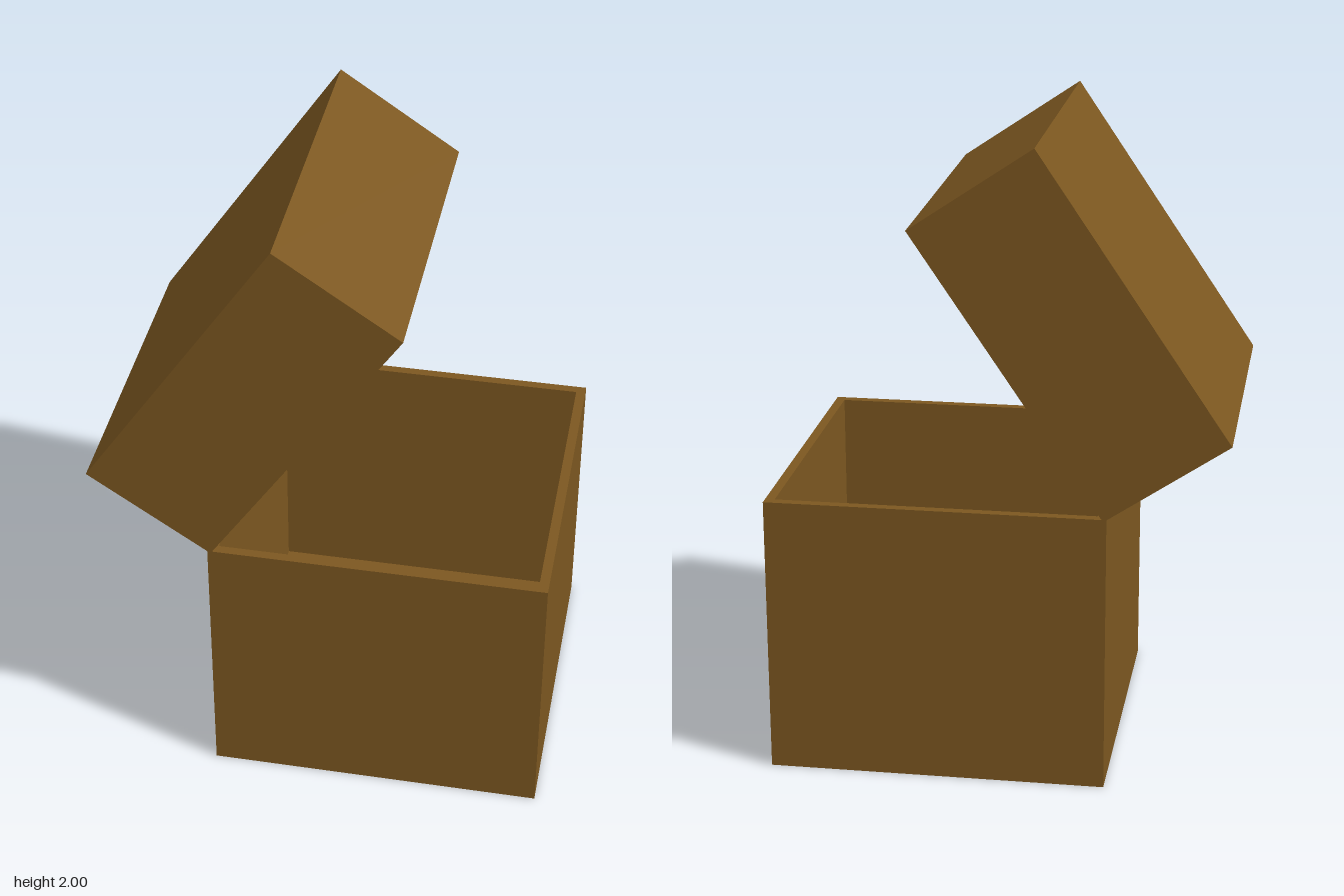
import * as THREE from 'three';

const SIZE = 1.05;   // square footprint of box and lid
const WALL = 0.03;

const material = new THREE.MeshStandardMaterial({ color: 0x7c5720 });

function square(Type, s) {
  const h = s / 2;
  return new Type([
    new THREE.Vector2(-h, -h), new THREE.Vector2(h, -h),
    new THREE.Vector2(h, h), new THREE.Vector2(-h, h),
  ]);
}

// Hollow square container, closed at one end; its hinge edge is at x = 0
function hollowBox(name, height, closedAtTop) {
  const group = new THREE.Group();
  group.name = name;

  const ring = square(THREE.Shape, SIZE);
  ring.holes.push(square(THREE.Path, SIZE - 2 * WALL));
  const wallGeometry = new THREE.ExtrudeGeometry(ring, { depth: height, bevelEnabled: false });
  wallGeometry.rotateX(-Math.PI / 2);
  const walls = new THREE.Mesh(wallGeometry, material);
  walls.name = name + 'Walls';
  walls.position.x = SIZE / 2;

  const inner = SIZE - 2 * WALL;
  const panel = new THREE.Mesh(new THREE.BoxGeometry(inner, WALL, inner), material);
  panel.name = name + (closedAtTop ? 'Top' : 'Floor');
  panel.position.set(SIZE / 2, closedAtTop ? height - WALL / 2 : WALL / 2, 0);

  group.add(walls, panel);
  return group;
}

export function createModel() {
  const model = new THREE.Group();
  model.name = 'openBox';

  // Base container
  const base = hollowBox('base', 0.882, false);
  base.position.x = -0.342;

  // Lid swung open about the hinge edge
  const lid = hollowBox('lid', 0.456, true);
  lid.position.set(-0.332, 0.875, 0);
  lid.rotation.z = THREE.MathUtils.degToRad(56);

  model.add(base, lid);
  return model;
}
